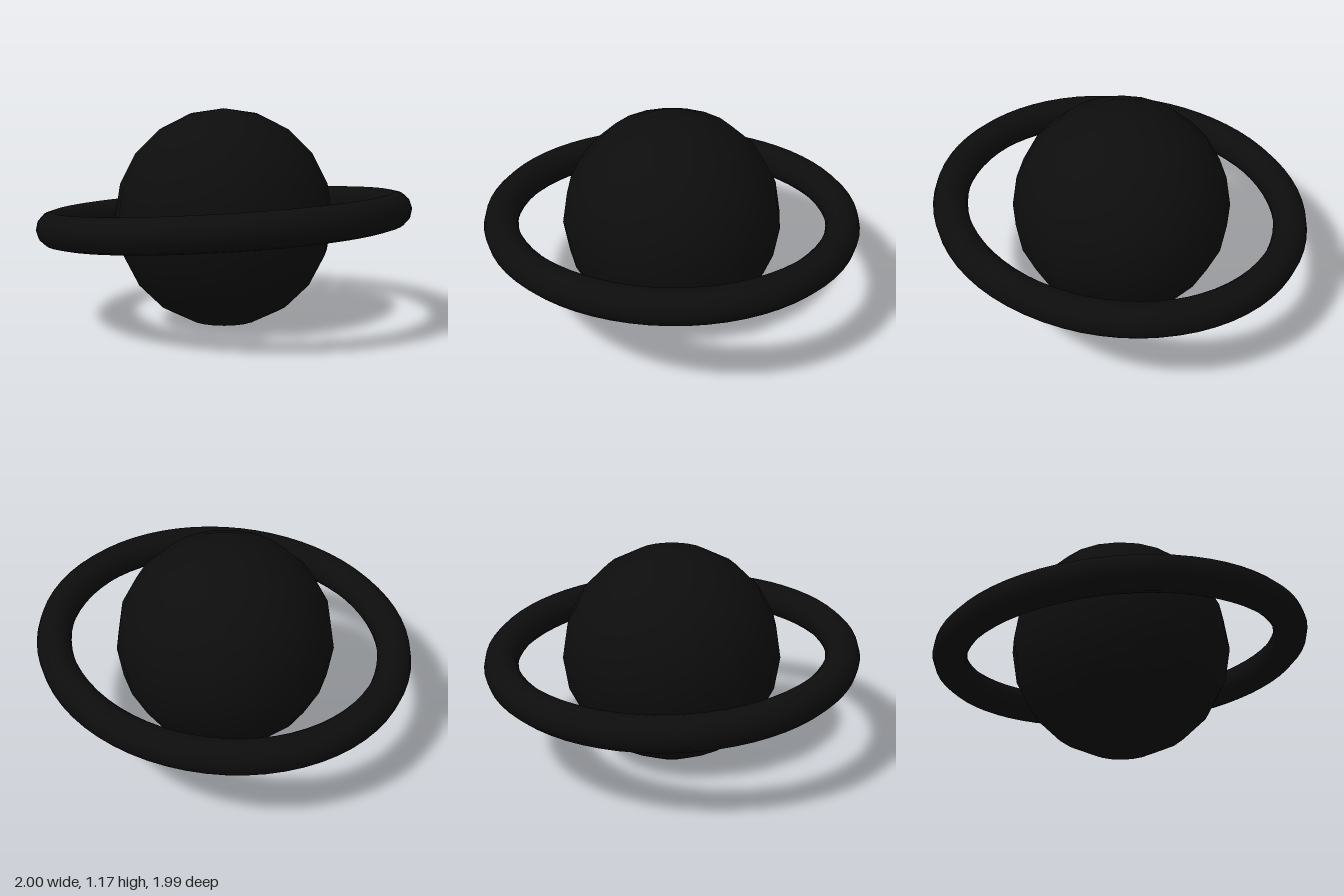
import * as THREE from 'three';

const deg = THREE.MathUtils.degToRad;

export function createModel() {
  const model = new THREE.Group();
  model.name = 'ringedPlanet';
  const material = new THREE.MeshStandardMaterial({ color: 0x0d0d0d });

  // Low-poly globe with smooth normals, standing on the ground
  const globeRadius = 0.583;
  const globe = new THREE.Mesh(new THREE.SphereGeometry(globeRadius, 20, 10), material);
  globe.name = 'planet';
  globe.position.y = globeRadius;
  model.add(globe);

  // Round ring: laid flat, then tipped up at the front with a slight roll
  const tube = 0.091;
  const ringGeometry = new THREE.TorusGeometry(1 - tube, tube, 12, 64);
  ringGeometry.rotateX(Math.PI / 2);
  const ring = new THREE.Mesh(ringGeometry, material);
  ring.name = 'ring';
  ring.position.y = globeRadius;
  ring.rotation.set(deg(-5), 0, deg(0.5));
  model.add(ring);

  return model;
}
